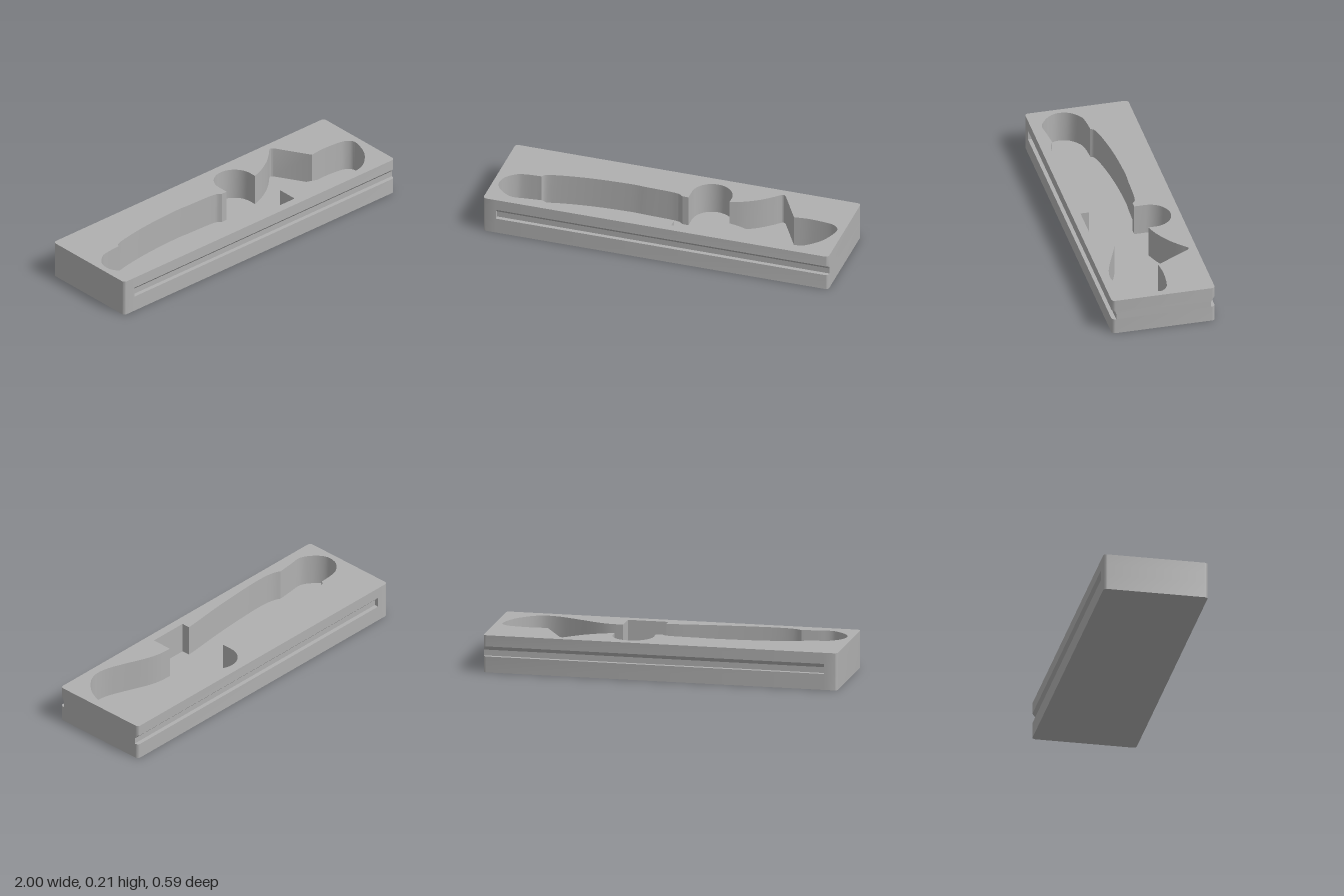
import * as THREE from 'three';
import { toCreasedNormals } from 'three/addons/utils/BufferGeometryUtils.js';

const HEIGHT = 0.21, FLOOR = 0.03;
const HALF_X = 1, HALF_Z = 0.293, RADIUS = 0.02;
const SLOT_START = -0.925, SLOT_DEPTH = 0.024;

// Outline of the block in (x, -z), with both side slots cut in by depth d
function blockOutline(d) {
  const cut = (x, y) => new THREE.Vector2(x, THREE.MathUtils.clamp(y, d - HALF_Z, HALF_Z - d));
  const corner = (sx, sy, start) => Array.from({ length: 7 }, (_, i) => {
    const a = start + (i / 6) * Math.PI / 2;
    return [sx * (HALF_X - RADIUS) + RADIUS * Math.cos(a), sy * (HALF_Z - RADIUS) + RADIUS * Math.sin(a)];
  });
  const plain = (p) => new THREE.Vector2(...p);
  return [
    ...corner(-1, -1, Math.PI).map(plain),
    new THREE.Vector2(SLOT_START, -HALF_Z),
    cut(SLOT_START, -HALF_Z),
    ...corner(1, -1, Math.PI * 1.5).map((p) => cut(...p)),
    ...corner(1, 1, 0).map((p) => cut(...p)),
    cut(SLOT_START, HALF_Z),
    new THREE.Vector2(SLOT_START, HALF_Z),
    ...corner(-1, 1, Math.PI / 2).map(plain),
  ];
}

// Outline of the pocket in (x, -z): smooth runs meeting at sharp corners
function pocketOutline() {
  const runs = [
    // rear edge of the long handle
    [[-0.762, -0.02], [-0.735, -0.045], [-0.61, -0.07], [-0.45, -0.088], [-0.265, -0.096], [-0.174, -0.092],
      [-0.05, -0.088], [0, -0.083], [0.02, -0.078], [0.04, -0.062]],
    [[0.075, -0.062]],
    // round finger recess
    Array.from({ length: 25 }, (_, i) => {
      const a = Math.PI * (1 - i / 24);
      return [0.19 + 0.115 * Math.cos(a), -0.125 - 0.115 * Math.sin(a)];
    }),
    // pointed fin
    [[0.305, -0.085], [0.377, -0.112], [0.457, -0.158], [0.521, -0.211], [0.548, -0.238], [0.564, -0.249], [0.58, -0.24]],
    // rounded right end
    [[0.692, -0.045], [0.778, -0.053], [0.885, -0.045], [0.933, -0.03], [0.96, 0.008], [0.944, 0.078],
      [0.912, 0.142], [0.858, 0.2], [0.805, 0.233], [0.751, 0.243], [0.682, 0.233], [0.591, 0.2],
      [0.468, 0.15], [0.388, 0.128], [0.305, 0.122]],
    // square finger recess
    [[0.305, 0.243]], [[0.075, 0.243]],
    // front edge of the handle
    [[0.075, 0.195], [0.013, 0.2], [-0.184, 0.222], [-0.4, 0.238], [-0.548, 0.243], [-0.634, 0.235], [-0.682, 0.216]],
    // rounded left end
    [[-0.695, 0.217], [-0.773, 0.225], [-0.853, 0.232], [-0.912, 0.2], [-0.95, 0.158], [-0.965, 0.11],
      [-0.95, 0.05], [-0.9, 0.002], [-0.853, -0.013], [-0.775, -0.02]],
  ];
  return runs.flatMap((run) => {
    const pts = run.map(([x, z]) => new THREE.Vector2(x, -z));
    return pts.length > 1 && pts.length < 25 ? new THREE.SplineCurve(pts).getPoints((pts.length - 1) * 4) : pts;
  });
}

// Walls joining successive closed rings, each given as { y, ring }
function walls(levels) {
  const pos = [];
  const tri = new THREE.Triangle();
  const add = (a, b, c) => {
    if (tri.set(a, b, c).getArea() > 1e-9) for (const p of [a, b, c]) pos.push(p.x, p.y, p.z);
  };
  for (let k = 0; k + 1 < levels.length; k++) {
    const at = ({ y, ring }, i) => {
      const p = ring[i % ring.length];
      return new THREE.Vector3(p.x, y, -p.y);
    };
    for (let i = 0; i < levels[k].ring.length; i++) {
      const a = at(levels[k], i), b = at(levels[k], i + 1);
      const c = at(levels[k + 1], i + 1), d = at(levels[k + 1], i);
      add(a, b, c);
      add(a, c, d);
    }
  }
  const geo = new THREE.BufferGeometry();
  geo.setAttribute('position', new THREE.Float32BufferAttribute(pos, 3));
  return toCreasedNormals(geo, 0.5);
}

// Flat upward face at height y
function face(outline, y, hole) {
  const shape = new THREE.Shape(outline);
  if (hole) shape.holes.push(new THREE.Path(hole));
  return new THREE.ShapeGeometry(shape).rotateX(-Math.PI / 2).translate(0, y, 0);
}

export function createModel() {
  const grey = new THREE.MeshStandardMaterial({ color: 0xb0b0b0 });
  grey.name = 'grey';
  const model = new THREE.Group();
  model.name = 'toolTray';
  const add = (name, geo) => {
    const mesh = new THREE.Mesh(geo, grey);
    mesh.name = name;
    model.add(mesh);
  };

  const outer = blockOutline(0), slotted = blockOutline(SLOT_DEPTH), pocket = pocketOutline();

  // Outer sides, with a slot whose roof slopes outward
  add('outerWalls', walls([
    { y: 0, ring: outer }, { y: 0.09, ring: outer }, { y: 0.09, ring: slotted },
    { y: 0.123, ring: slotted }, { y: 0.147, ring: outer }, { y: HEIGHT, ring: outer },
  ]));
  add('topFace', face(outer, HEIGHT, pocket));
  add('bottomFace', face(outer, 0).rotateX(Math.PI));

  // Recessed pocket
  add('pocketWalls', walls([{ y: FLOOR, ring: pocket }, { y: HEIGHT, ring: pocket }]));
  add('pocketFloor', face(pocket, FLOOR));
  return model;
}
